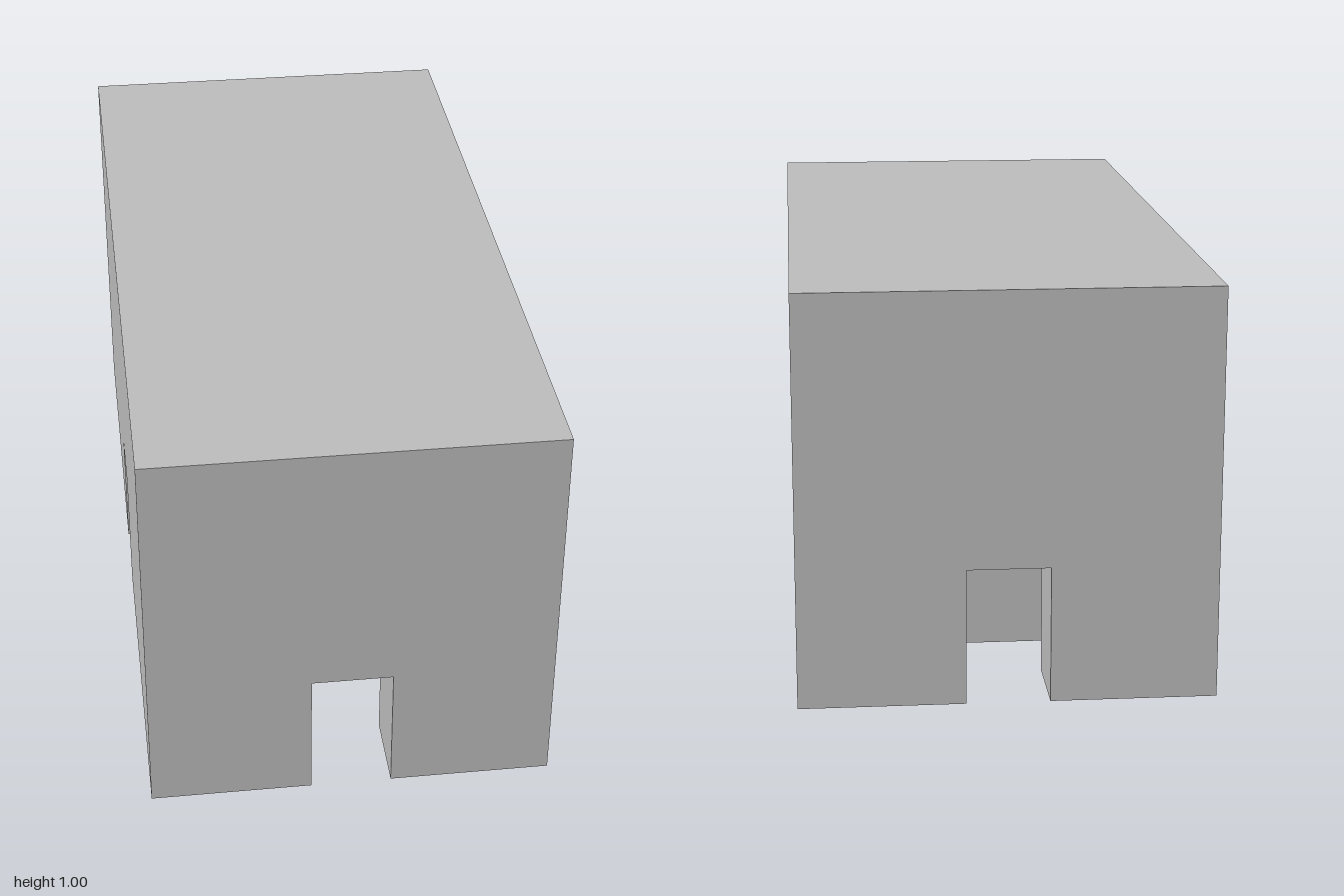
import * as THREE from 'three';

const WIDTH = 1, LENGTH = 2, HEIGHT = 1, SLOT_HEIGHT = 1 / 3;

// T-shaped slot in plan: opens at z = 0 and runs inward along -z
const SLOT = [
  [-0.1, 0], [-0.1, -0.2], [-0.3, -0.2], [-0.3, -0.4],
  [0.3, -0.4], [0.3, -0.2], [0.1, -0.2], [0.1, 0],
];

const flatShape = (points) =>
  new THREE.ShapeGeometry(new THREE.Shape(points.map(([x, y]) => new THREE.Vector2(x, y))));

// Vertical walls following the slot outline, facing into the slot
function slotWallGeometry() {
  const positions = [];
  for (let i = 0; i < SLOT.length - 1; i++) {
    const [px, pz] = SLOT[i], [qx, qz] = SLOT[i + 1], h = SLOT_HEIGHT;
    positions.push(px, 0, pz, qx, 0, qz, qx, h, qz, px, 0, pz, qx, h, qz, px, h, pz);
  }
  const geometry = new THREE.BufferGeometry();
  geometry.setAttribute('position', new THREE.Float32BufferAttribute(positions, 3));
  geometry.computeVertexNormals();
  return geometry;
}

// Outer wall with the slot's doorway cut from its lower edge
function panelGeometry(width) {
  const w = width / 2, d = SLOT[SLOT.length - 1][0];
  return flatShape([
    [-w, 0], [-d, 0], [-d, SLOT_HEIGHT], [d, SLOT_HEIGHT],
    [d, 0], [w, 0], [w, HEIGHT], [-w, HEIGHT],
  ]);
}

export function createModel() {
  const model = new THREE.Group();
  model.name = 'slottedBlock';
  const grey = new THREE.MeshStandardMaterial({ color: 0xbfbfbf });
  grey.name = 'lightGrey';

  const add = (parent, name, geometry) => {
    const mesh = new THREE.Mesh(geometry, grey);
    mesh.name = name;
    parent.add(mesh);
    return mesh;
  };

  // Four sides, each with its panel and slot; the underside outline is gathered on the way
  const outline = [];
  ['front', 'left', 'back', 'right'].forEach((name, i) => {
    const angle = i * Math.PI / 2;
    const width = i % 2 ? LENGTH : WIDTH;
    const distance = (i % 2 ? WIDTH : LENGTH) / 2;

    const side = new THREE.Group();
    side.name = name + 'Side';
    side.rotation.y = angle;
    side.position.set(Math.sin(angle) * distance, 0, Math.cos(angle) * distance);
    add(side, name + 'Panel', panelGeometry(width));
    add(side, name + 'SlotWalls', slotWallGeometry());
    add(side, name + 'SlotCeiling', flatShape(SLOT).rotateX(Math.PI / 2)).position.y = SLOT_HEIGHT;
    model.add(side);

    const c = Math.cos(angle), s = Math.sin(angle);
    for (const [x, z] of [...SLOT, [width / 2, 0]]) {
      outline.push([x * c + (z + distance) * s, -x * s + (z + distance) * c]);
    }
  });

  // Underside with the four slots cut out, and the plain top
  add(model, 'underside', flatShape(outline).rotateX(Math.PI / 2));
  add(model, 'top', new THREE.PlaneGeometry(WIDTH, LENGTH).rotateX(-Math.PI / 2)).position.y = HEIGHT;

  return model;
}
